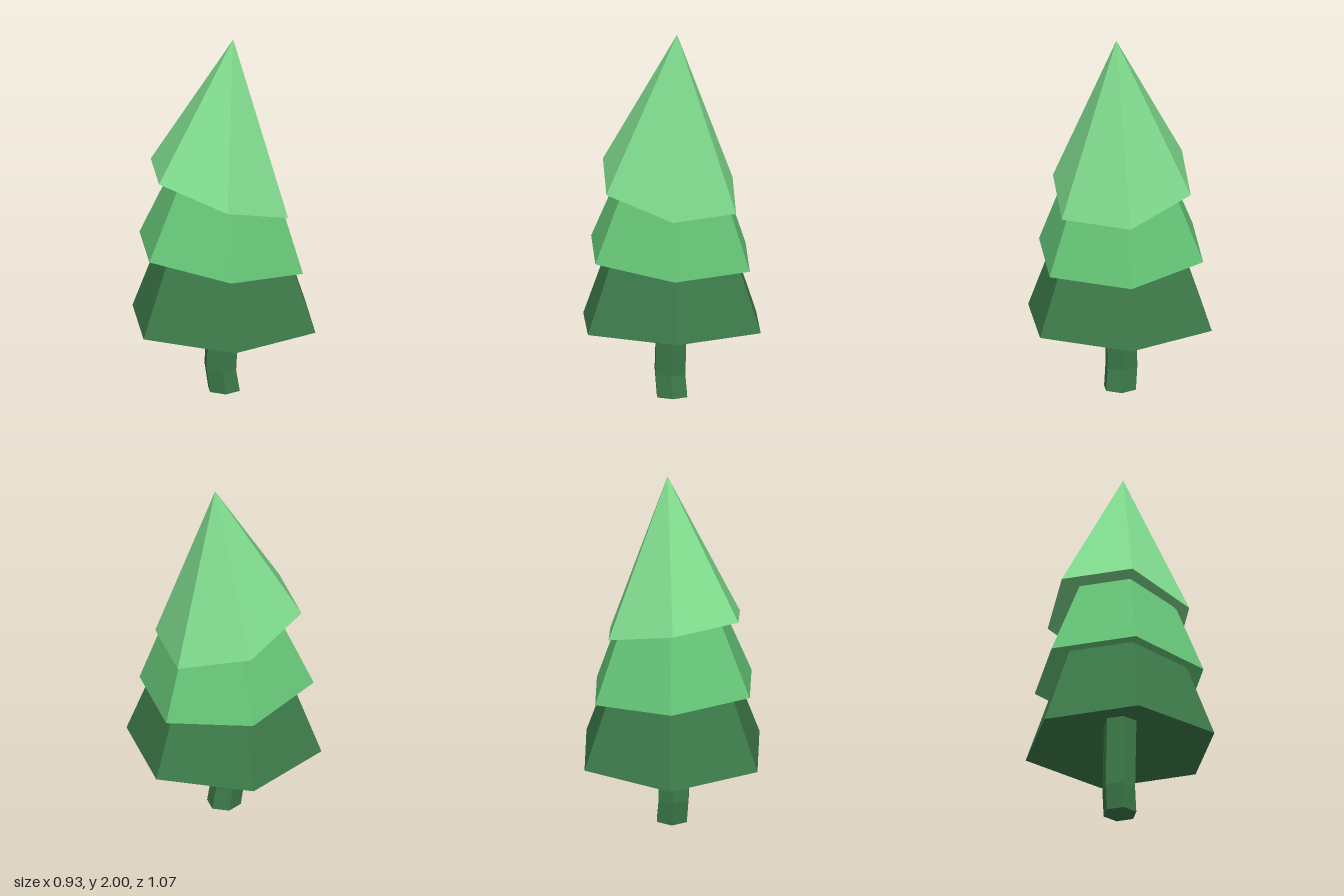
import * as THREE from 'three';

const SIDES = 6;

// Six-sided ring with corners on the z axis; slope tilts it along x.
function ring(cx, cy, r, slope = 0) {
  return Array.from({ length: SIDES }, (_, i) => {
    const a = (i / SIDES) * Math.PI * 2;
    const x = r * Math.sin(a);
    return new THREE.Vector3(cx + x, cy + slope * x, r * Math.cos(a));
  });
}

// Faceted skin over a stack of rings, listed from the underside upwards.
function loft(rings) {
  const pos = [];
  const tri = (a, b, c) => {
    const n = b.clone().sub(a).cross(c.clone().sub(a));
    if (n.length() > 1e-9) for (const p of [a, b, c]) pos.push(p.x, p.y, p.z);
  };
  for (let k = 0; k < rings.length - 1; k++) {
    for (let i = 0; i < SIDES; i++) {
      const j = (i + 1) % SIDES;
      const lo = rings[k], hi = rings[k + 1];
      tri(lo[i], lo[j], hi[j]);
      tri(lo[i], hi[j], hi[i]);
    }
  }
  const g = new THREE.BufferGeometry();
  g.setAttribute('position', new THREE.Float32BufferAttribute(pos, 3));
  g.computeVertexNormals();
  return g;
}

// Foliage tier: hollowed underside, tilted rim, sides rising towards a tip.
// cut is how far up towards the tip the sides run before closing.
function tier({ rim, tip, hollow, cut }) {
  const [cx, cy, r, slope] = rim;
  const end = new THREE.Vector3(tip[0], tip[1], 0);
  const base = ring(cx, cy, r, slope);
  const top = base.map((p) => p.clone().lerp(end, cut));
  const mid = new THREE.Vector3(cx, cy, 0).lerp(end, cut);
  return loft([
    ring(cx - slope * hollow, cy + hollow, 0),
    base,
    top,
    ring(mid.x, mid.y, 0),
  ]);
}

export function createModel() {
  const model = new THREE.Group();
  model.name = 'firTree';

  const mat = (name, color) => {
    const m = new THREE.MeshStandardMaterial({ color });
    m.name = name;
    return m;
  };
  const darkGreen = mat('darkGreen', 0x3d7b4a);
  const midGreen = mat('midGreen', 0x66c577);
  const lightGreen = mat('lightGreen', 0x80dc8e);

  const add = (name, geometry, material) => {
    const mesh = new THREE.Mesh(geometry, material);
    mesh.name = name;
    model.add(mesh);
  };

  // Bent trunk
  add('trunk', loft([
    ring(0, 0, 0),
    ring(0, 0, 0.093),
    ring(-0.02, 0.13, 0.093, -0.12),
    ring(0.005, 0.6, 0.093),
    ring(0.005, 0.6, 0),
  ]), darkGreen);

  // Foliage
  add('lowerTier', tier({ rim: [0, 0.4, 0.537, 0], tip: [0.01, 1.8], hollow: 0.17, cut: 0.45 }), darkGreen);
  add('middleTier', tier({ rim: [-0.015, 0.78, 0.48, -0.12], tip: [0.045, 1.94], hollow: 0.15, cut: 0.55 }), midGreen);
  add('topTier', tier({ rim: [-0.025, 1.15, 0.403, -0.317], tip: [0.05, 2], hollow: 0.13, cut: 1 }), lightGreen);

  return model;
}
